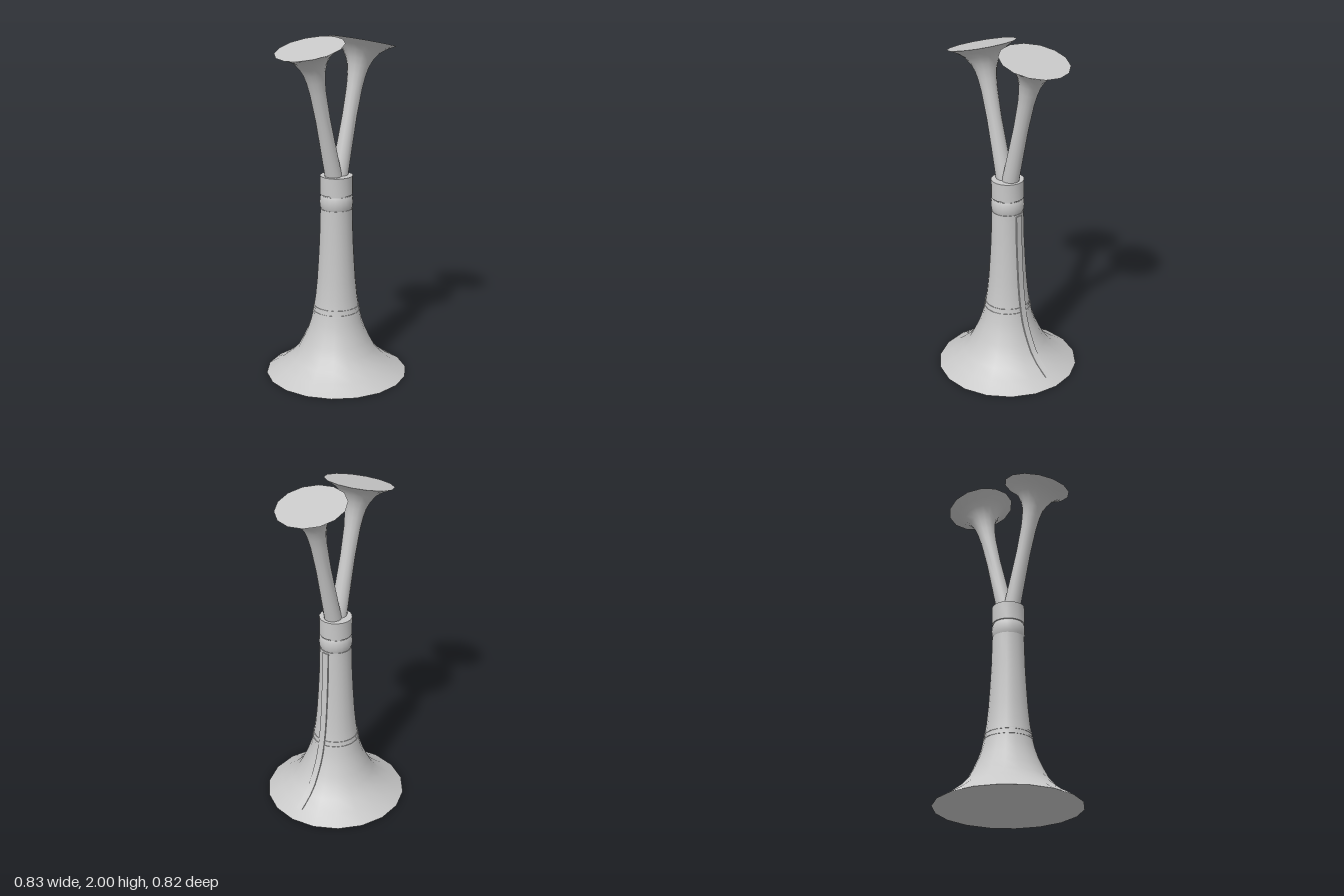
import * as THREE from 'three';
import { toCreasedNormals } from 'three/addons/utils/BufferGeometryUtils.js';

// Radius and height pairs of the large bell, from foot to collar
const BELL = [
  [0.417, 0], [0.335, 0.05], [0.272, 0.1], [0.228, 0.15], [0.197, 0.21], [0.17, 0.27],
  [0.15, 0.33], [0.135, 0.4], [0.123, 0.48], [0.113, 0.58], [0.105, 0.7], [0.098, 0.83], [0.093, 1.01],
];

function bellRadius(y) {
  let i = 1;
  while (i < BELL.length - 1 && BELL[i][1] < y) i++;
  const [r0, y0] = BELL[i - 1], [r1, y1] = BELL[i];
  return r0 + (r1 - r0) * (y - y0) / (y1 - y0);
}

export function createModel() {
  const group = new THREE.Group();
  const metal = new THREE.MeshStandardMaterial({ color: 0xc8c8c8 });
  metal.name = 'light grey';

  // Turned part with smooth sides and sharp rims; profile runs upwards
  function turned(name, profile, sides, parent = group) {
    const points = profile.map(([r, y]) => new THREE.Vector2(r, y));
    const lathe = new THREE.LatheGeometry(points, sides, Math.PI / 2);
    const mesh = new THREE.Mesh(toCreasedNormals(lathe, 0.7), metal);
    mesh.name = name;
    parent.add(mesh);
    return mesh;
  }

  // Large bell, closed at the foot and top
  turned('largeBell', [[0, 0], ...BELL, [0, 1.01]], 18);

  // Rounded ring, narrow neck and collar that holds the horns
  turned('neckRing', [[0, 1.01], [0.09, 1.01], [0.095, 1.025], [0.097, 1.05], [0.095, 1.078], [0.09, 1.09], [0, 1.09]], 18);
  turned('neck', [[0, 1.08], [0.088, 1.08], [0.088, 1.11], [0, 1.11]], 18);
  turned('collar', [[0, 1.097], [0.095, 1.097], [0.095, 1.205], [0, 1.205]], 18);

  // Two thin bands around the bell
  for (const y of [0.38, 0.41]) {
    const r0 = bellRadius(y), r1 = bellRadius(y + 0.012);
    turned('bellBand', [[r0 - 0.004, y], [r0 + 0.003, y], [r1 + 0.003, y + 0.012], [r1 - 0.004, y + 0.012]], 18);
  }

  // Raised seam down the left side, following the curve of the bell
  const seam = new THREE.BoxGeometry(0.01, 0.96, 0.04, 1, 32, 1);
  seam.translate(0, 0.52, 0);
  const p = seam.attributes.position;
  for (let i = 0; i < p.count; i++) p.setX(i, p.getX(i) + bellRadius(p.getY(i)) - 0.001);
  const seamMesh = new THREE.Mesh(toCreasedNormals(seam, 0.7), metal);
  seamMesh.name = 'seam';
  group.add(seamMesh);

  // Pair of small horns leaning outwards, mouth at the local origin
  const horn = [
    [0, -0.79], [0.05, -0.79], [0.046, -0.6], [0.043, -0.42], [0.047, -0.26], [0.054, -0.19],
    [0.064, -0.14], [0.08, -0.1], [0.108, -0.057], [0.145, -0.028], [0.198, 0], [0, 0],
  ];
  for (const side of [-1, 1]) {
    const mesh = turned(side > 0 ? 'leftHorn' : 'rightHorn', horn, 14);
    mesh.position.set(side * 0.21, 1.952, 0);
    mesh.rotation.z = -side * 0.242;
  }
  return group;
}
